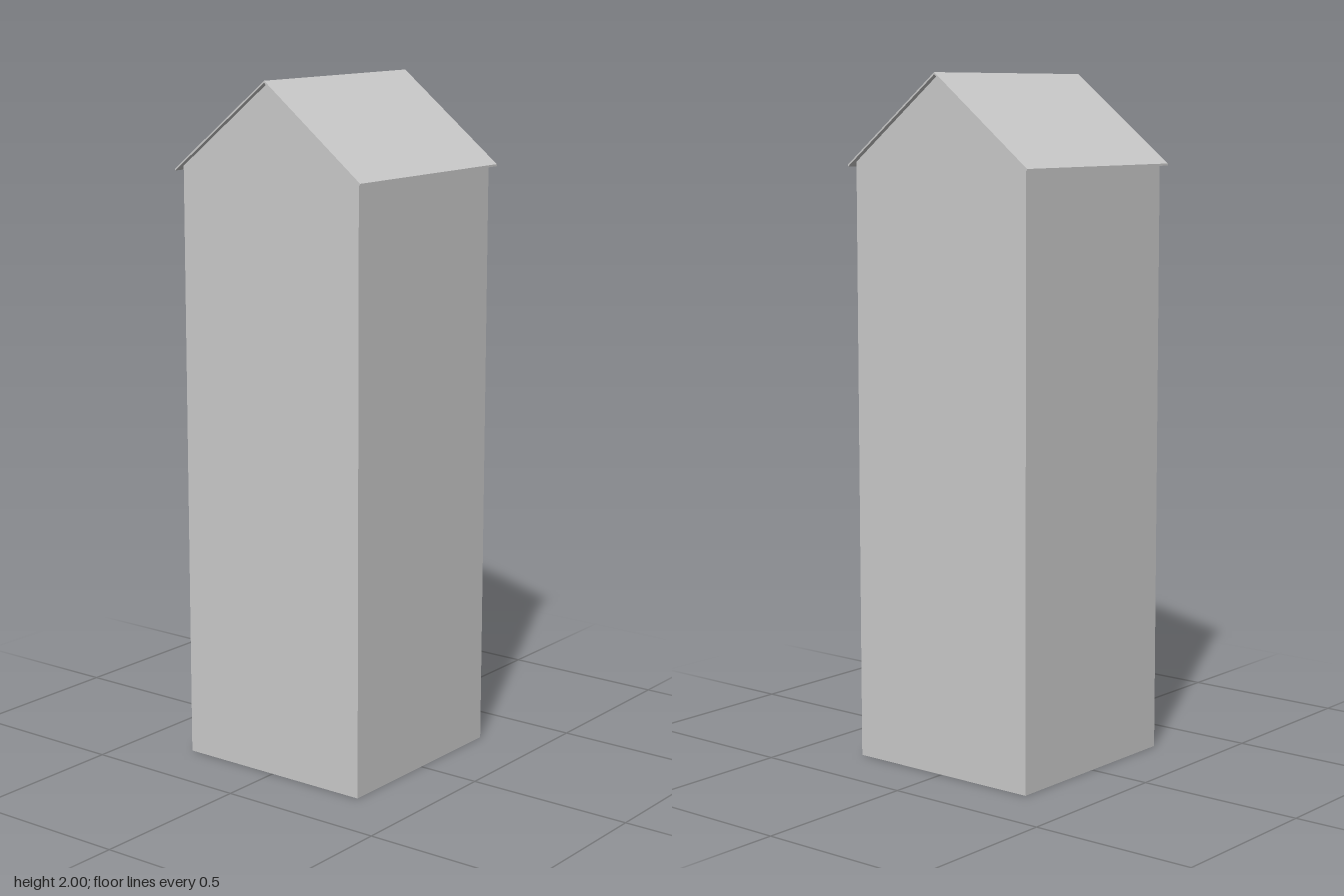
import * as THREE from 'three';

const HALF = 0.31;        // half width of the tower
const EAVE = 0.327;       // half width of the roof
const RIDGE = 2, EAVE_Y = 1.742, THICK = 0.006;
const SLOPE = (RIDGE - EAVE_Y) / EAVE;
const WALL_TOP = RIDGE - THICK - SLOPE * HALF;

export function createModel() {
  const group = new THREE.Group();
  const material = new THREE.MeshStandardMaterial({
    color: 0xcccccc, flatShading: true, side: THREE.DoubleSide,
  });
  const add = (name, geometry) => {
    const mesh = new THREE.Mesh(geometry, material);
    mesh.name = name;
    group.add(mesh);
    return mesh;
  };
  const shapeOf = (points) => new THREE.Shape(points.map(([x, y]) => new THREE.Vector2(x, y)));

  // Hollow tower, open at the bottom: two plain walls and two gabled walls
  const gable = shapeOf([
    [-HALF, 0], [HALF, 0], [HALF, WALL_TOP], [0, RIDGE - THICK], [-HALF, WALL_TOP],
  ]);
  for (const side of [1, -1]) {
    const turn = side > 0 ? 0 : Math.PI;
    const wall = new THREE.PlaneGeometry(2 * HALF, WALL_TOP);
    wall.translate(0, WALL_TOP / 2, HALF).rotateY(turn);
    add(side > 0 ? 'frontWall' : 'backWall', wall);

    const gableWall = new THREE.ShapeGeometry(gable);
    gableWall.translate(0, 0, HALF).rotateY(Math.PI / 2 + turn);
    add(side > 0 ? 'leftGableWall' : 'rightGableWall', gableWall);
  }

  // Thin folded roof, ridge along x, slightly overhanging on all sides
  const fold = shapeOf([
    [-EAVE, EAVE_Y], [-EAVE, EAVE_Y - THICK], [0, RIDGE - THICK],
    [EAVE, EAVE_Y - THICK], [EAVE, EAVE_Y], [0, RIDGE],
  ]);
  const roof = new THREE.ExtrudeGeometry(fold, { depth: 2 * EAVE, bevelEnabled: false });
  roof.translate(0, 0, -EAVE).rotateY(Math.PI / 2);
  add('roof', roof);

  return group;
}
